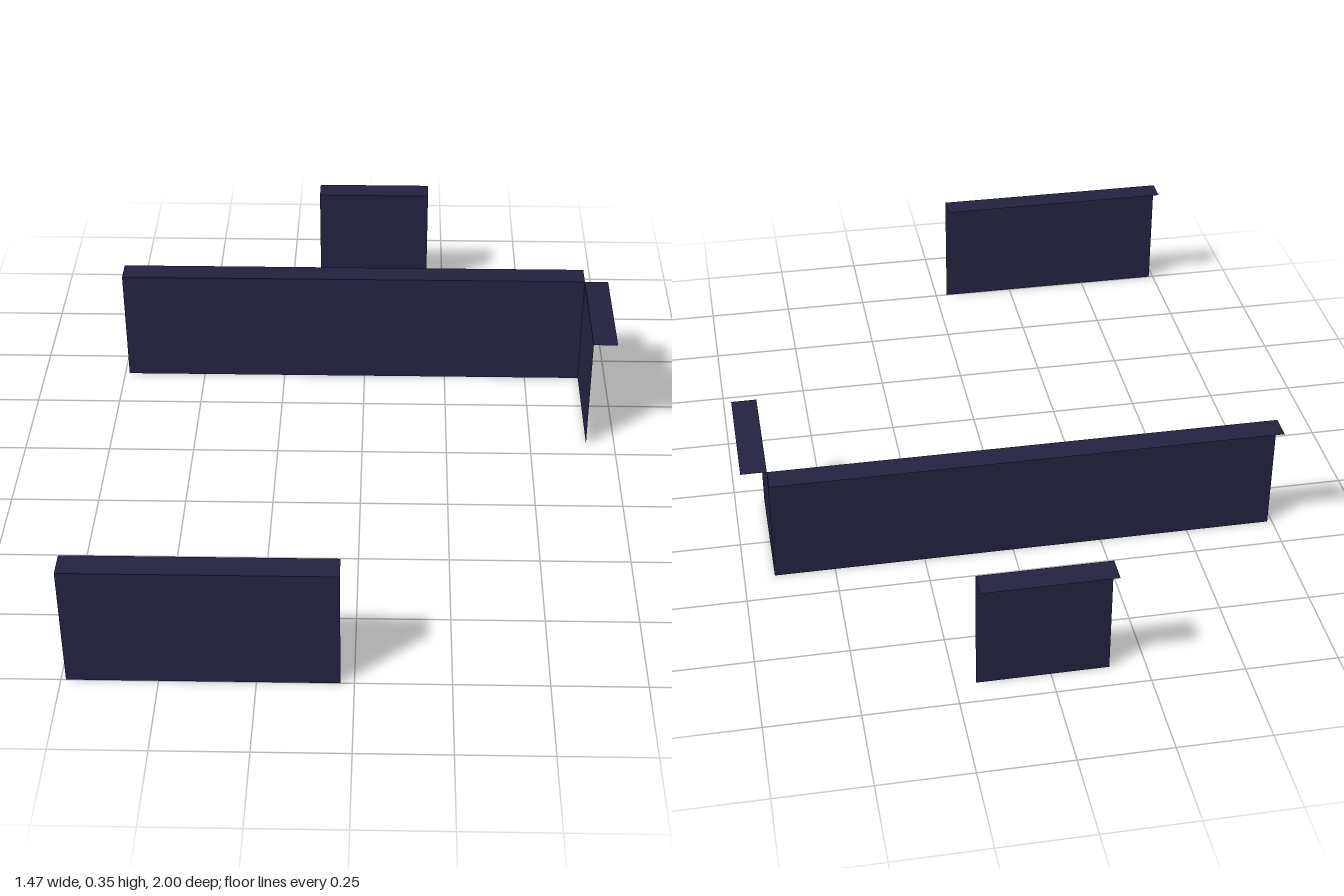
import * as THREE from 'three';

const U = 0.3509;          // module: wall height
const FLANGE = 0.2 * U;    // depth of the top ledge

// Thin L-section: upright panel facing +z with a ledge running back from its top edge
function makeWall(name, length, material) {
  const wall = new THREE.Group();
  wall.name = name;

  const panel = new THREE.Mesh(new THREE.PlaneGeometry(length, U), material);
  panel.name = 'panel';
  panel.position.y = U / 2;

  const ledge = new THREE.Mesh(new THREE.PlaneGeometry(length, FLANGE).rotateX(-Math.PI / 2), material);
  ledge.name = 'topLedge';
  ledge.position.set(0, U, -FLANGE / 2);

  wall.add(panel, ledge);
  return wall;
}

export function createModel() {
  const model = new THREE.Group();
  model.name = 'wallSegments';
  const navy = new THREE.MeshStandardMaterial({ color: 0x222240, side: THREE.DoubleSide });
  navy.name = 'dark navy';

  // name, length, centre x, panel z, turn about y
  const walls = [
    ['frontWall', 2 * U, -0.386, 1, 0],
    ['mainWall', 4 * U, -0.035, -0.4035, 0],
    ['backWall', U, 0.021, -0.93, 0],
    // side wall: ledge points outward to +x
    ['sideWall', U, 0.6667, -0.4035 + U / 2, -Math.PI / 2],
  ];
  for (const [name, length, x, z, turn] of walls) {
    const wall = makeWall(name, length, navy);
    wall.position.set(x, 0, z);
    wall.rotation.y = turn;
    model.add(wall);
  }
  return model;
}
